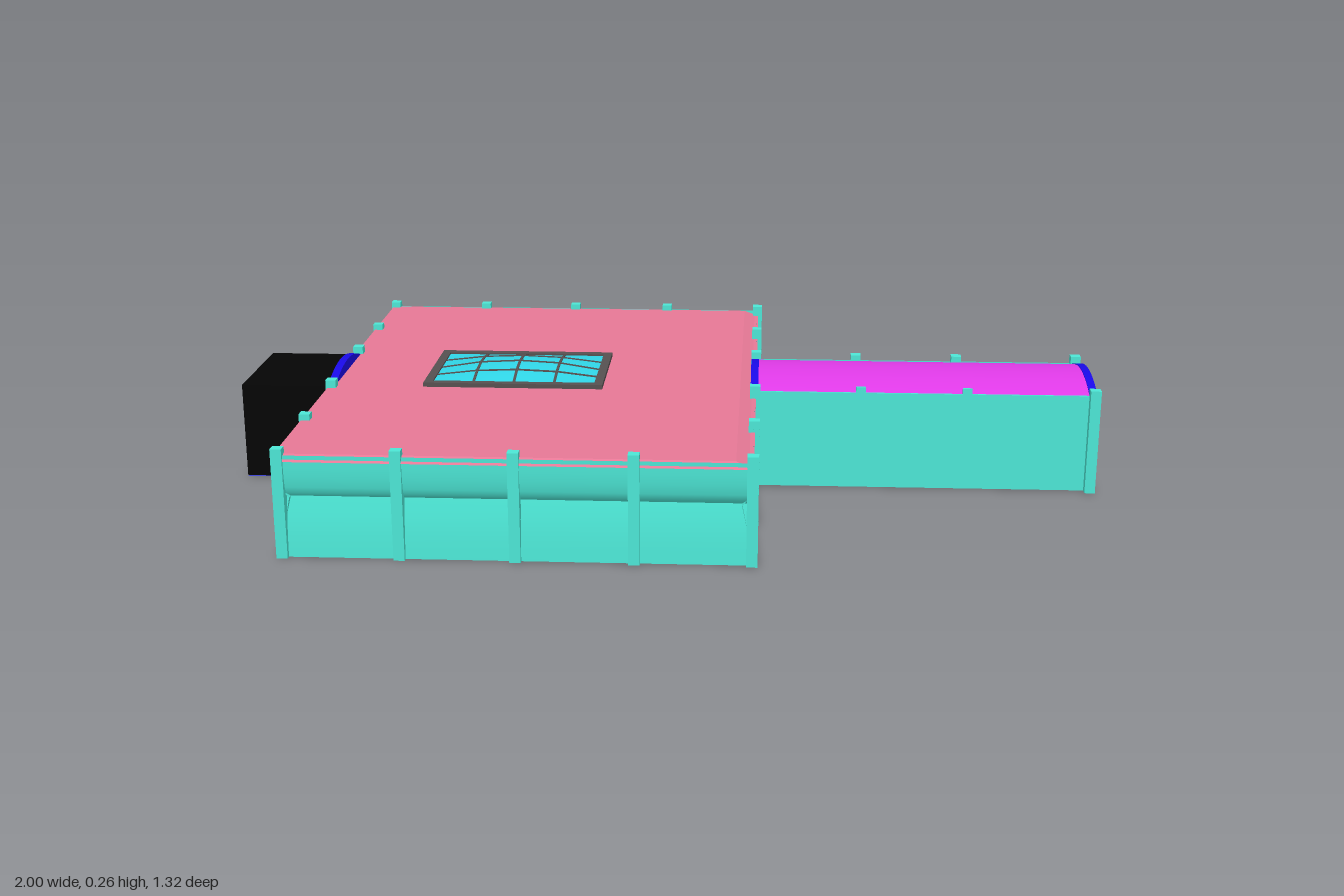
import * as THREE from 'three';

const mat = (name, color, side = THREE.FrontSide) => {
  const m = new THREE.MeshStandardMaterial({ color, side });
  m.name = name;
  return m;
};

export function createModel() {
  const D = THREE.DoubleSide;
  const teal = mat('turquoise', 0x4ce6d5, D);
  const pink = mat('rose roof', 0xe67896);
  const magenta = mat('magenta vault', 0xe63cee, D);
  const blue = mat('arch blue', 0x1a0ae8);
  const floorBlue = mat('floor blue', 0x4048e6);
  const navy = mat('floor navy', 0x202874);
  const black = mat('black', 0x050505);
  const grey = mat('door grey', 0xcacaca);
  const frameGrey = mat('frame grey', 0x565050);
  const glass = mat('glass cyan', 0x32def0, D);

  const model = new THREE.Group();
  model.name = 'hallWithCorridor';

  const add = (name, geo, material, parent = model) => {
    const mesh = new THREE.Mesh(geo, material);
    mesh.name = name;
    parent.add(mesh);
    return mesh;
  };
  // Box given by its extents on each axis
  const box = (name, material, [x0, x1], [y0, y1], [z0, z1], parent) => {
    const mesh = add(name, new THREE.BoxGeometry(x1 - x0, y1 - y0, z1 - z0), material, parent);
    mesh.position.set((x0 + x1) / 2, (y0 + y1) / 2, (z0 + z1) / 2);
    return mesh;
  };
  // Smooth sheet along x; the profile lists [z, y] from top to bottom
  const sheet = (profile, length) => {
    const geo = new THREE.PlaneGeometry(length, 1, 1, profile.length - 1);
    const p = geo.attributes.position;
    for (let i = 0; i < p.count; i++) {
      const [z, y] = profile[Math.floor(i / 2)];
      p.setXYZ(i, p.getX(i), y, z);
    }
    geo.computeVertexNormals();
    return geo;
  };

  // Wall panel: lower part leans in, upper part bulges out above a crease
  const upper = [[0.021, 0.227], [0.0205, 0.2], [0.019, 0.178], [0.015, 0.155], [0.009, 0.141], [0, 0.132]];
  const lower = [[0, 0.132], [0.009, 0.09], [0.014, 0.045], [0.016, 0]];
  const wall = (name, length, x, z, turn) => {
    const g = new THREE.Group();
    g.name = name;
    add('upperPanel', sheet(upper, length), teal, g);
    add('lowerPanel', sheet(lower, length), teal, g);
    g.position.set(x, 0, z);
    g.rotation.y = turn;
    model.add(g);
  };
  const post = (x, z, top = 0.242) =>
    box('post', teal, [x - 0.012, x + 0.012], [0, top], [z - 0.012, z + 0.012]);

  // Hall
  box('hallFloor', navy, [-0.778, 0.198], [0, 0.005], [-0.646, 0.646]);
  const roof = box('hallRoof', pink, [-0.792, 0.201], [0.214, 0.228], [-0.659, 0.657]);
  // Roof rims slope down at the front, back and left
  const rp = roof.geometry.attributes.position;
  for (let i = 0; i < rp.count; i++) {
    if (rp.getY(i) < 0) continue;
    rp.setZ(i, rp.getZ(i) - Math.sign(rp.getZ(i)) * 0.014);
    if (rp.getX(i) > 0) rp.setX(i, rp.getX(i) - 0.03);
  }
  roof.geometry.computeVertexNormals();
  box('roofTrim', pink, [0.198, 0.208], [0.213, 0.217], [-0.65, 0.65]);

  wall('frontWall', 0.99, -0.29, 0.632, 0);
  wall('backWall', 0.99, -0.29, -0.632, Math.PI);
  for (const s of [1, -1]) {
    wall('leftWall', 0.5, 0.184, s * 0.397, Math.PI / 2);
    wall('rightWall', 0.5, -0.764, s * 0.397, -Math.PI / 2);
    for (const x of [-0.535, -0.29, -0.04]) post(x, s * 0.647);
    for (const x of [-0.784, 0.206]) {
      post(x, s * 0.647);
      post(x, s * 0.4);
      post(x, s * 0.15 - 0.007, 0.246);
    }
  }
  box('innerDoor', grey, [-0.785, -0.779], [0.005, 0.214], [-0.147, 0.135]);

  // Vault curve shared by the corridor roof and the end arches
  const zMid = -0.009, half = 0.145, spring = 0.222, rise = 0.03;
  const radius = (half * half + rise * rise) / (2 * rise);
  const sweep = Math.asin(half / radius);
  const arc = [];
  for (let i = 0; i <= 16; i++) {
    const a = sweep * (i / 8 - 1);
    arc.push([zMid + radius * Math.sin(a), spring + rise - radius * (1 - Math.cos(a))]);
  }

  // Corridor
  box('corridorFloor', floorBlue, [0.198, 0.985], [0, 0.005], [-0.147, 0.132]);
  wall('corridorBackWall', 0.78, 0.595, -0.137, Math.PI);
  box('corridorFrontWall', teal, [0.205, 0.985], [0, 0.229], [0.131, 0.136]);
  add('corridorRoof', sheet(arc, 0.78), magenta).position.x = 0.595;
  for (const x of [0.45, 0.695]) {
    post(x, -0.155, 0.243);
    box('postTop', teal, [x - 0.011, x + 0.011], [0.22, 0.242], [0.128, 0.136]);
  }
  post(0.985, -0.157, 0.246);
  post(0.985, 0.143, 0.246);

  // Solid arch heads above each opening
  const archShape = new THREE.Shape(arc.map(([z, y]) => new THREE.Vector2(-z, y + 0.002)));
  for (const x of [-0.796, 0.195, 0.975]) {
    const geo = new THREE.ExtrudeGeometry(archShape, { depth: 0.018, bevelEnabled: false });
    geo.rotateY(Math.PI / 2);
    add('archHead', geo, blue).position.x = x;
  }

  // Dark block on the right side
  box('darkBlock', black, [-1, -0.792], [0.002, 0.226], [-0.152, 0.134]);
  box('darkBlockFloor', floorBlue, [-1, -0.785], [0, 0.002], [-0.152, 0.134]);

  // Skylight
  const skylight = new THREE.Group();
  skylight.name = 'skylight';
  skylight.position.set(-0.36, 0, -0.012);
  model.add(skylight);
  const hx = 0.19, hz = 0.126;
  for (const s of [1, -1]) {
    const xs = [s * hx, s * (hx + 0.02)].sort((a, b) => a - b);
    const zs = [s * hz, s * (hz + 0.02)].sort((a, b) => a - b);
    box('frameSide', frameGrey, xs, [0.222, 0.238], [-hz - 0.02, hz + 0.02], skylight);
    box('frameEnd', frameGrey, [-hx, hx], [0.222, 0.238], zs, skylight);
  }
  const lift = [0, 0.75, 1, 0.75, 0];
  const node = (i, j) => new THREE.Vector3(
    hx * (i / 2 - 1), 0.234 + 0.02 * lift[i] * lift[j], hz * (j / 2 - 1));
  const pane = new THREE.PlaneGeometry(1, 1, 4, 4);
  for (let j = 0; j < 5; j++) for (let i = 0; i < 5; i++) {
    const n = node(i, j);
    pane.attributes.position.setXYZ(j * 5 + i, n.x, n.y, n.z);
  }
  pane.computeVertexNormals();
  add('glazing', pane, glass, skylight);

  // Glazing bars follow the dome grid
  const bar = (a, b) => {
    const mesh = add('glazingBar', new THREE.BoxGeometry(0.006, 0.004, a.distanceTo(b)), frameGrey, skylight);
    mesh.position.copy(a).add(b).multiplyScalar(0.5);
    mesh.lookAt(b.clone().add(skylight.position));
  };
  for (let k = 1; k < 4; k++) for (let i = 0; i < 4; i++) {
    bar(node(i, k), node(i + 1, k));
    bar(node(k, i), node(k, i + 1));
  }
  return model;
}
